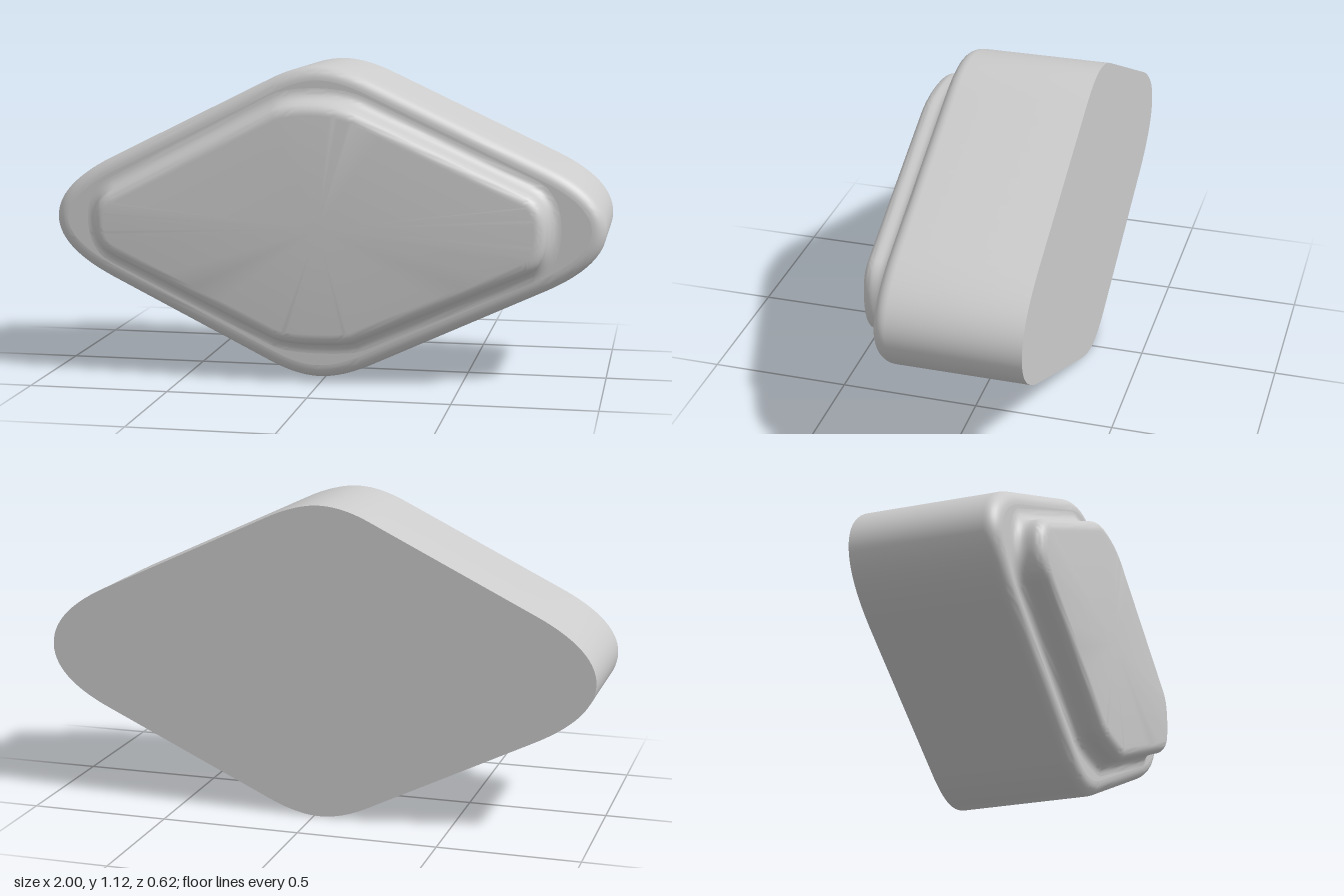
import * as THREE from 'three';
import { toCreasedNormals } from 'three/addons/utils/BufferGeometryUtils.js';

const V = (x, y) => new THREE.Vector2(x, y);

// Rounded diamond, counter-clockwise from the right tip.
// Each edge runs from beside a side tip to beside the top or bottom.
function outline(sides, ends, midX, midY, edges) {
  const pts = [];
  edges.forEach(([sx, sy, ex, ey], k) => {
    const tip = V(k === 0 || k === 3 ? sides[1] : sides[0], midY);
    const peak = V(midX, k < 2 ? ends[1] : ends[0]);
    const s = V(sx, sy), e = V(ex, ey), slope = (ey - sy) / (ex - sx);
    // curve controls lie where the straight edge meets the bounding lines
    const tipControl = V(tip.x, sy + (tip.x - sx) * slope);
    const peakControl = V(ex + (peak.y - ey) / slope, peak.y);
    const run = [
      ...new THREE.QuadraticBezierCurve(tip, tipControl, s).getPoints(14),
      ...new THREE.LineCurve(s, e).getPoints(6).slice(1),
      ...new THREE.QuadraticBezierCurve(e, peakControl, peak).getPoints(10).slice(1),
    ];
    if (k % 2) run.reverse();
    pts.push(...run.slice(0, -1));
  });
  return pts;
}

// Moves an outline outwards (or inwards when d is negative).
function offset(pts, d) {
  const n = pts.length;
  return pts.map((p, i) => {
    const t = pts[(i + 1) % n].clone().sub(pts[(i + n - 1) % n]).normalize();
    return V(p.x + t.y * d, p.y - t.x * d);
  });
}

// Skins rings of equal point count from back to front, with optional end caps.
function loft(rings, capBack, capFront) {
  const n = rings[0].pts.length, pos = [], idx = [];
  rings.forEach(({ pts, z }) => pts.forEach((p) => pos.push(p.x, p.y, z)));
  for (let r = 0; r < rings.length - 1; r++) {
    for (let j = 0; j < n; j++) {
      const a = r * n + j, b = r * n + (j + 1) % n;
      idx.push(a, b, b + n, a, b + n, a + n);
    }
  }
  const cap = (r, flip) => {
    const c = pos.length / 3;
    pos.push(0, 0.56, rings[r].z);
    for (let j = 0; j < n; j++) {
      const a = r * n + j, b = r * n + (j + 1) % n;
      idx.push(c, flip ? b : a, flip ? a : b);
    }
  };
  if (capBack) cap(0, true);
  if (capFront) cap(rings.length - 1, false);
  const g = new THREE.BufferGeometry();
  g.setAttribute('position', new THREE.Float32BufferAttribute(pos, 3));
  g.setIndex(idx);
  return toCreasedNormals(g, 0.6);
}

export function createModel() {
  const group = new THREE.Group();
  const material = new THREE.MeshStandardMaterial({ color: 0xcccccc });
  const add = (name, geometry) => {
    const mesh = new THREE.Mesh(geometry, material);
    mesh.name = name;
    group.add(mesh);
  };

  const bodyLine = outline([-1, 1], [0, 1.125], -0.02, 0.5625, [
    [0.79, 0.785, 0.17, 1.075], [-0.79, 0.785, -0.2, 1.077],
    [-0.79, 0.34, -0.2, 0.048], [0.79, 0.34, 0.17, 0.05],
  ]);
  const plateauLine = outline([-0.83, 0.8], [0.138, 1.003], -0.025, 0.565, [
    [0.73, 0.7, 0.14, 0.972], [-0.765, 0.675, -0.176, 0.978],
    [-0.765, 0.44, -0.176, 0.158], [0.73, 0.415, 0.13, 0.152],
  ]);
  const steps = 8, R = 0.05, F = 0.045, rimZ = 0.205, topZ = 0.308;
  const angle = (i) => (i / steps) * Math.PI / 2;

  // Body: straight wall and rounded front edge
  const body = [{ pts: bodyLine, z: -topZ }];
  for (let i = 0; i <= steps; i++) {
    const a = angle(i);
    body.push({ pts: offset(bodyLine, R * (Math.cos(a) - 1)), z: rimZ - R + R * Math.sin(a) });
  }
  add('body', loft(body, true, false));

  // Plateau: concave fillet at its foot, rounded edge at its front
  const plateau = [];
  for (let i = 0; i <= steps; i++) {
    const a = angle(i);
    plateau.push({ pts: offset(plateauLine, F * (1 - Math.sin(a))), z: rimZ + F * (1 - Math.cos(a)) });
  }
  for (let i = 0; i <= steps; i++) {
    const a = angle(i);
    plateau.push({ pts: offset(plateauLine, F * (Math.cos(a) - 1)), z: topZ - F + F * Math.sin(a) });
  }
  add('raisedPlateau', loft(plateau, false, true));

  // Flat rim joining the two
  add('rim', loft([body[body.length - 1], plateau[0]], false, false));
  return group;
}
